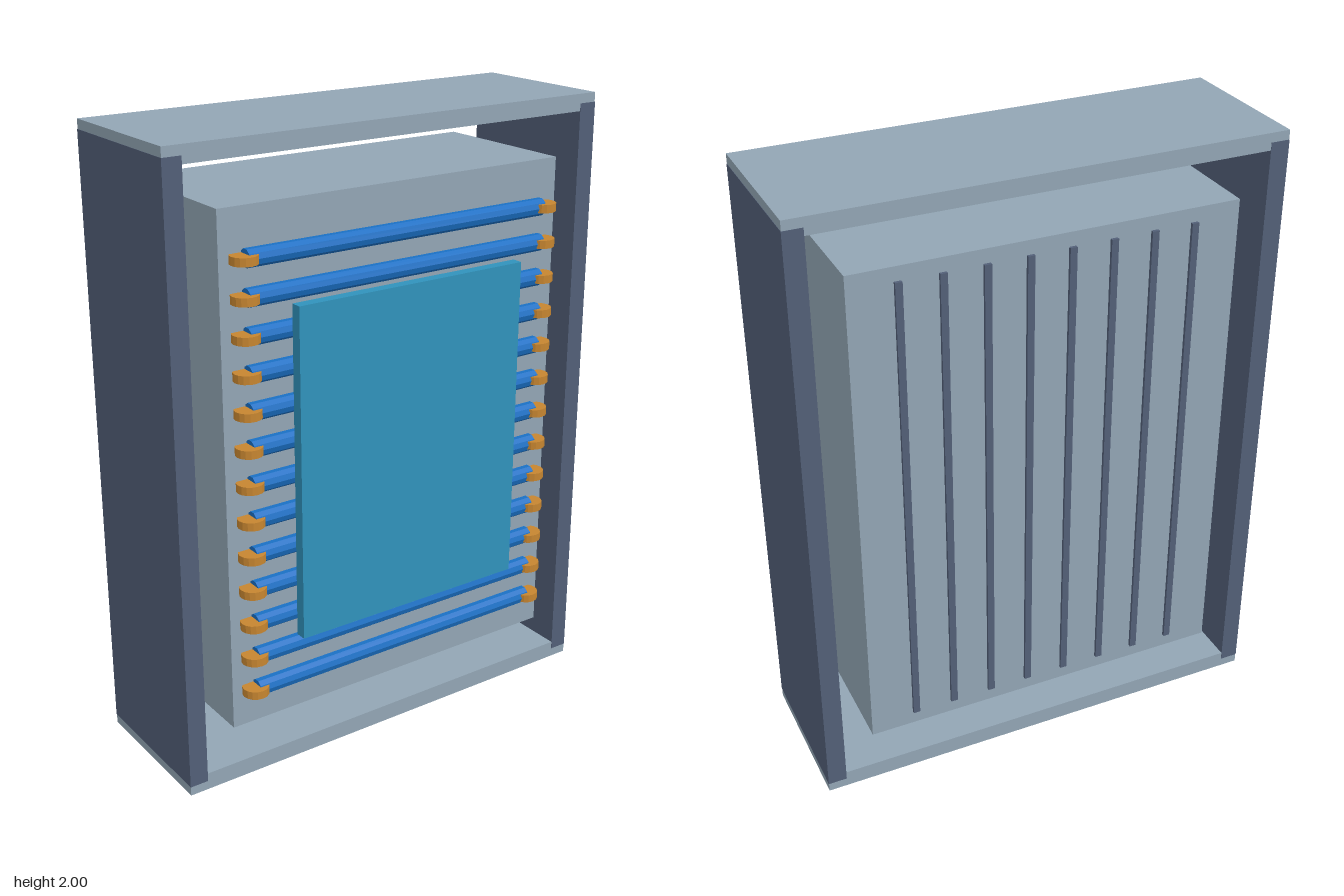
import * as THREE from 'three';

const material = (name, color) => {
  const m = new THREE.MeshStandardMaterial({ color, flatShading: true });
  m.name = name;
  return m;
};

export function createModel() {
  const model = new THREE.Group();
  model.name = 'heatExchanger';
  const steel = material('pale steel', 0x92a5b4);
  const slate = material('dark slate', 0x525f77);
  const blue = material('tube blue', 0x1a70c4);
  const teal = material('panel teal', 0x3092bb);
  const copper = material('copper', 0xc68530);

  const add = (name, geometry, mat, x, y, z) => {
    const mesh = new THREE.Mesh(geometry, mat);
    mesh.name = name;
    mesh.position.set(x, y, z);
    model.add(mesh);
    return mesh;
  };
  // Box given by its lower and upper bounds
  const box = (name, mat, [x0, y0, z0], [x1, y1, z1]) =>
    add(name, new THREE.BoxGeometry(x1 - x0, y1 - y0, z1 - z0), mat,
      (x0 + x1) / 2, (y0 + y1) / 2, (z0 + z1) / 2);

  // Open outer frame; the side walls overlap the top and bottom plates
  box('bottomPlate', steel, [-0.766, 0, -0.29], [0.766, 0.056, 0.212]);
  box('topPlate', steel, [-0.766, 1.946, -0.29], [0.766, 2, 0.212]);
  box('rightWall', slate, [-0.767, 0.03, -0.291], [-0.706, 1.97, 0.213]);
  box('leftWall', slate, [0.706, 0.03, -0.291], [0.767, 1.97, 0.213]);

  // Core block
  box('core', steel, [-0.61, 0.188, -0.296], [0.61, 1.815, 0.216]);

  // Vertical fins on the back
  for (let i = 0; i < 8; i++) {
    const x = -0.46 + i * 0.1314;
    box('backFin', slate, [x - 0.011, 0.235, -0.306], [x + 0.011, 1.77, -0.29]);
  }

  // Horizontal tubes with copper end bends
  const tube = new THREE.CylinderGeometry(0.028, 0.028, 1.072, 10).rotateZ(Math.PI / 2);
  const bend = new THREE.CylinderGeometry(0.042, 0.042, 0.026, 16);
  for (let i = 0; i < 13; i++) {
    const y = 0.314 + i * 0.1131;
    add('coolingTube', tube, blue, 0, y, 0.236);
    for (const side of [-1, 1]) add('endBend', bend, copper, side * 0.542, y, 0.24);
  }

  // Front panel and the small mounts behind it
  box('frontPanel', teal, [-0.406, 0.475, 0.269], [0.406, 1.528, 0.305]);
  box('panelMount', teal, [-0.27, 1.29, 0.244], [-0.19, 1.37, 0.27]);
  box('copperContact', copper, [-0.046, 0.86, 0.254], [0.046, 0.95, 0.27]);

  return model;
}
